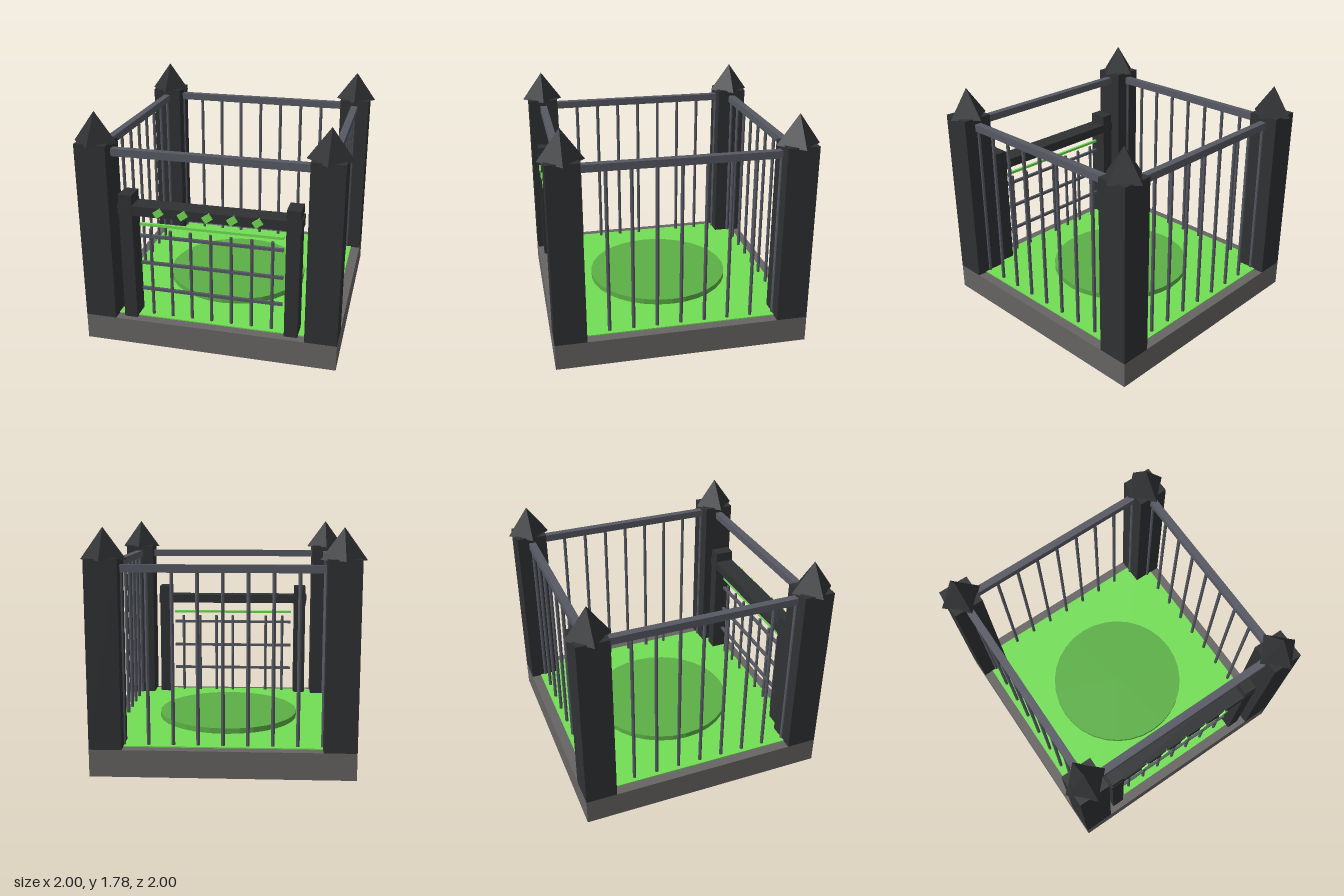
import * as THREE from 'three';

const mat = (color) => new THREE.MeshStandardMaterial({ color, flatShading: true });

export function createModel() {
  const model = new THREE.Group();
  const stone = mat(0x676563), dark = mat(0x2f3133), metal = mat(0x575963);
  const grass = mat(0x72de55), pad = mat(0x5cb046);

  const add = (parent, name, geometry, material, x, y, z) => {
    const mesh = new THREE.Mesh(geometry, material);
    mesh.name = name;
    mesh.position.set(x, y, z);
    parent.add(mesh);
    return mesh;
  };
  // Box given by its centre in x and z and its bottom and top heights
  const box = (parent, name, material, x, z, w, d, y0, y1) =>
    add(parent, name, new THREE.BoxGeometry(w, y1 - y0, d), material, x, (y0 + y1) / 2, z);
  const bar = (parent, name, x, z, r, y0, y1) =>
    add(parent, name, new THREE.CylinderGeometry(r, r, y1 - y0, 8), metal, x, (y0 + y1) / 2, z);

  // Plinth, floor and round pad
  box(model, 'base', stone, 0, 0, 1.91, 1.91, 0, 0.2);
  box(model, 'floor', grass, 0, 0, 1.76, 1.76, 0.19, 0.208);
  add(model, 'roundPad', new THREE.CylinderGeometry(0.56, 0.56, 0.05, 32), pad, 0, 0.225, 0);

  // Corner pillars with pyramid caps turned to a diamond
  for (const sx of [-1, 1]) for (const sz of [-1, 1]) {
    const pillar = new THREE.Group();
    pillar.name = 'cornerPillar';
    pillar.position.set(sx * 0.837, 0, sz * 0.837);
    box(pillar, 'pillarShaft', dark, 0, 0, 0.236, 0.236, 0.2, 1.56);
    add(pillar, 'pillarCap', new THREE.ConeGeometry(0.163, 0.225, 4), dark, 0, 1.6625, 0);
    model.add(pillar);
  }

  // Fence sides: every side has a top rail, the front has no bars
  for (let side = 0; side < 4; side++) {
    const fence = new THREE.Group();
    fence.name = ['frontFence', 'leftFence', 'backFence', 'rightFence'][side];
    box(fence, 'topRail', metal, 0, 0.837, 1.45, 0.055, 1.46, 1.515);
    if (side > 0) {
      for (let i = -4; i <= 4; i++) bar(fence, 'fenceBar', i * 0.18, 0.837, 0.0135, 0.2, 1.47);
    }
    fence.rotation.y = side * Math.PI / 2;
    model.add(fence);
  }

  // Gate frame
  const gate = new THREE.Group();
  gate.name = 'gate';
  model.add(gate);
  const gz = 0.835;
  for (const s of [-1, 1]) {
    box(gate, 'gatePost', dark, s * 0.613, gz, 0.1, 0.15, -0.0005, 1.19);
    box(gate, 'gateCollar', dark, s * 0.616, gz, 0.11, 0.156, 1.035, 1.115);
  }
  box(gate, 'gateBeam', dark, 0, gz, 1.2, 0.15, 1.037, 1.11);

  // Tilted studs on the beam
  for (let i = -2; i <= 2; i++) {
    const stud = add(gate, 'beamStud', new THREE.BoxGeometry(0.065, 0.05, 0.02), grass, i * 0.181, 1.074, 0.912);
    stud.rotation.z = 0.61;
  }

  // Gate grille
  for (let i = -3; i <= 3; i++) bar(gate, 'gateBar', i * 0.152, gz, 0.0125, 0.2, 0.91);
  for (const y of [0.42, 0.635, 0.853]) {
    box(gate, 'gateCrossbar', metal, 0, gz, 1.07, 0.022, y - 0.011, y + 0.011);
  }
  box(gate, 'greenRod', grass, 0, gz, 1.07, 0.022, 0.936, 0.956);

  return model;
}
